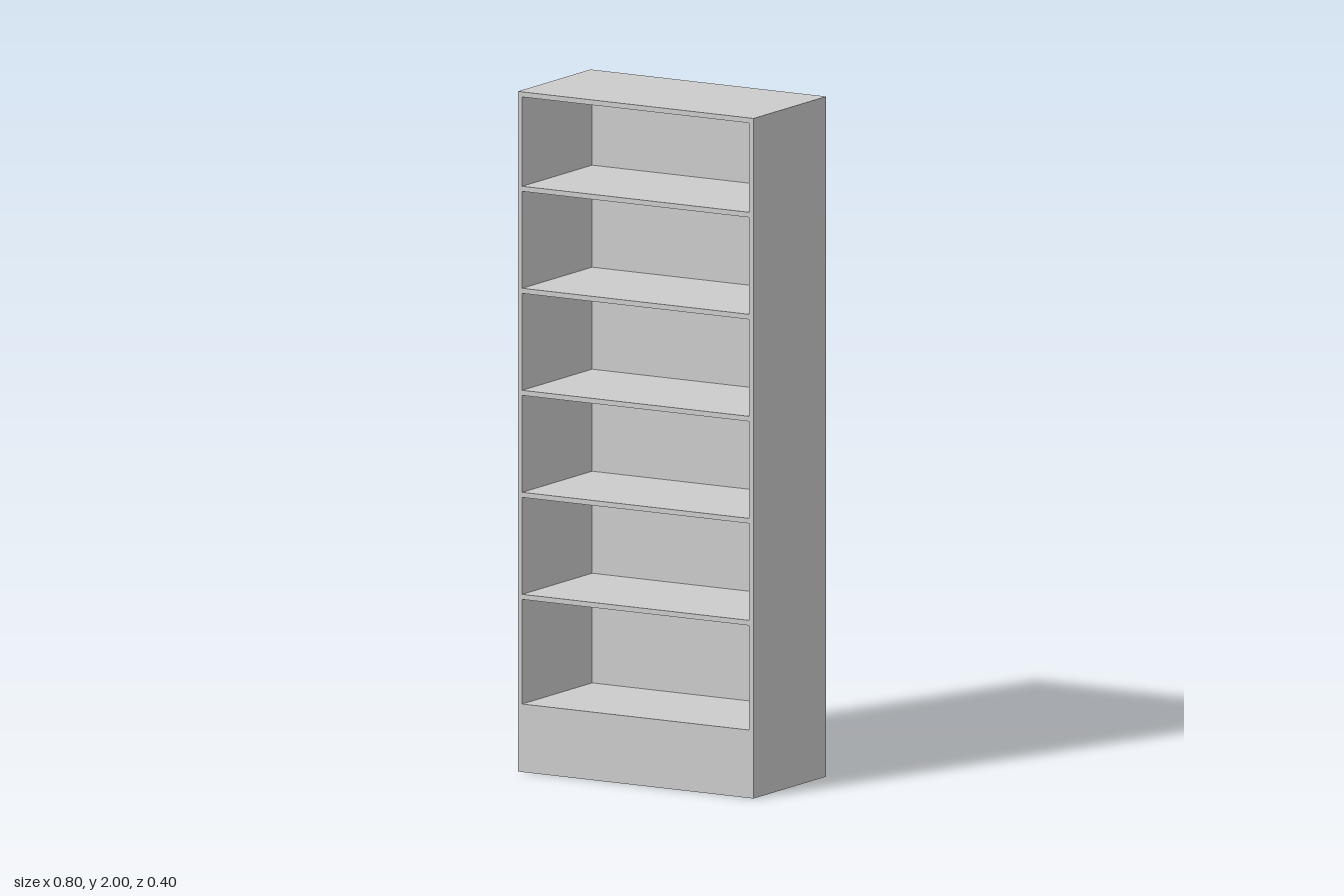
import * as THREE from 'three';

const W = 0.8, H = 2, D = 0.4; // overall size
const T = 0.015;               // board thickness
const BASE = 0.2;              // plinth height

export function createModel() {
  const group = new THREE.Group();
  group.name = 'bookcase';
  const material = new THREE.MeshStandardMaterial({ color: 0xcccccc });

  const board = (name, w, h, d, x, y, z) => {
    const mesh = new THREE.Mesh(new THREE.BoxGeometry(w, h, d), material);
    mesh.name = name;
    mesh.position.set(x, y, z);
    group.add(mesh);
  };

  // Side panels, full height
  for (const [name, s] of [['leftSide', 1], ['rightSide', -1]]) {
    board(name, T, H, D, s * (W - T) / 2, H / 2, 0);
  }

  // Boards fitted between the sides
  const innerW = W - 2 * T;
  board('base', innerW, BASE, D, 0, BASE / 2, 0);
  board('top', innerW, T, D, 0, H - T / 2, 0);
  board('backPanel', innerW, H - BASE - T, T, 0, (BASE + H - T) / 2, (T - D) / 2);

  // Five evenly spaced shelves, flush with the front
  for (let i = 0; i < 5; i++) {
    board(`shelf${i + 1}`, innerW, T, D - T, 0, 0.515 + i * 0.3, T / 2);
  }
  return group;
}
